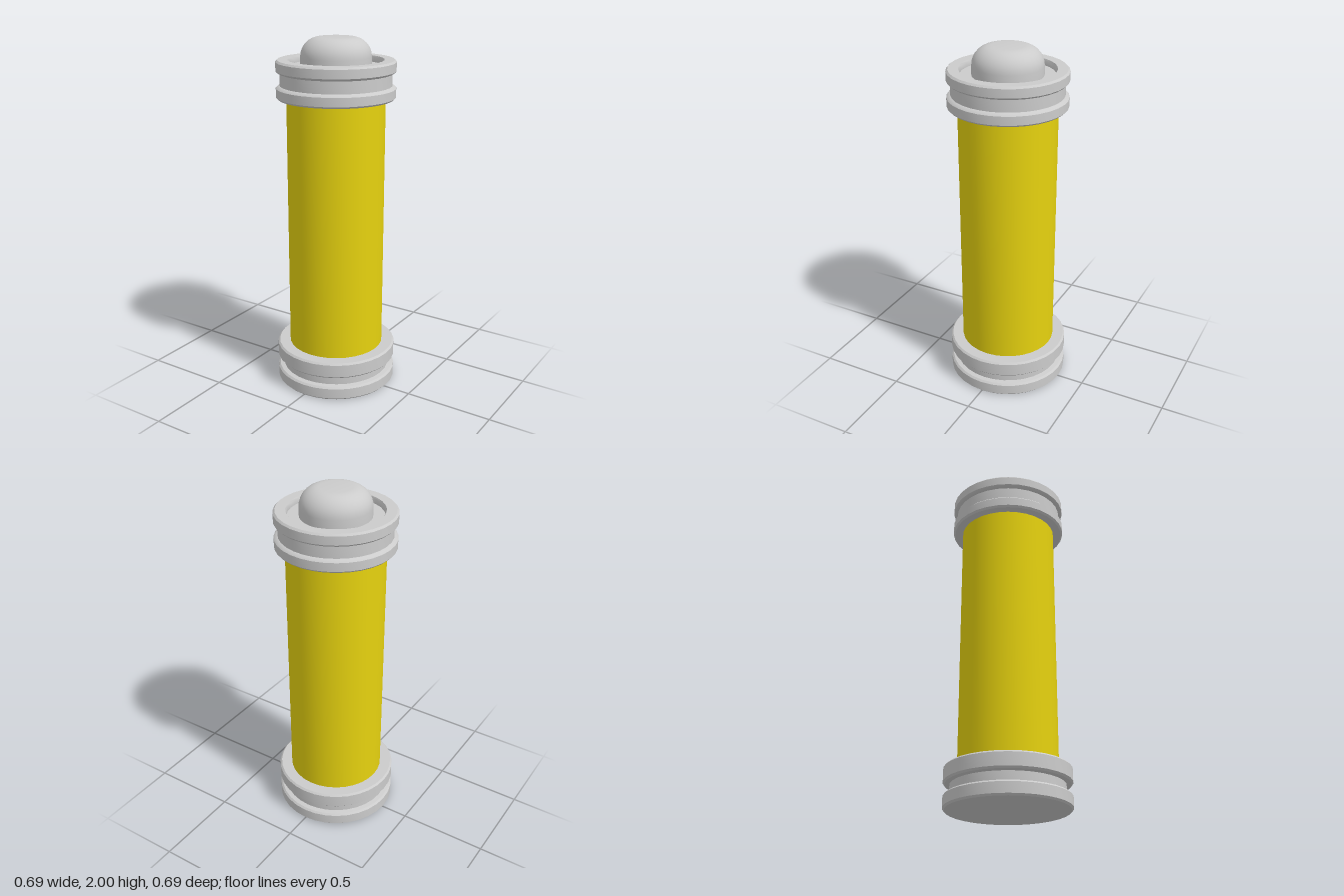
import * as THREE from 'three';
import { toCreasedNormals } from 'three/addons/utils/BufferGeometryUtils.js';

const SIDES = 32;
const BEVEL = 0.01;
const grey = new THREE.MeshStandardMaterial({ color: 0xcccccc });
const yellow = new THREE.MeshStandardMaterial({ color: 0xe6d20f });

// Turn a [radius, height] profile, listed from bottom to top, into a solid
function turned(name, profile, material, crease = 0.6) {
  const points = profile.map(([r, y]) => new THREE.Vector2(r, y));
  const geometry = toCreasedNormals(new THREE.LatheGeometry(points, SIDES), crease);
  const mesh = new THREE.Mesh(geometry, material);
  mesh.name = name;
  return mesh;
}

// Outer side of one ring with small bevels on both edges
function ring(r, y0, y1) {
  return [[r - BEVEL, y0], [r, y0 + BEVEL], [r, y1 - BEVEL], [r - BEVEL, y1]];
}

export function createModel() {
  const model = new THREE.Group();
  model.name = 'cylinderCell';

  // Coloured tube between the two caps
  model.add(turned('body', [[0.272, 0.2], [0.272, 1.7]], yellow));

  // Bottom cap: two rings with a groove between
  model.add(turned('bottomCap', [
    [0, 0],
    ...ring(0.345, 0, 0.078),
    [0.31, 0.082], [0.31, 0.132],
    ...ring(0.345, 0.136, 0.228),
    [0.26, 0.228],
  ], grey));

  // Top cap: two rings, a groove and a shallow recess on top
  model.add(turned('topCap', [
    [0.26, 1.67],
    ...ring(0.328, 1.67, 1.738),
    [0.307, 1.742], [0.307, 1.808],
    ...ring(0.328, 1.812, 1.88),
    [0.262, 1.88], [0.257, 1.872], [0.257, 1.845], [0, 1.845],
  ], grey));

  // Domed button with a rounded shoulder and a flat top
  const dome = [[0.193, 1.835]];
  for (let i = 0; i <= 8; i++) {
    const a = (i / 8) * Math.PI / 2;
    dome.push([0.088 + 0.105 * Math.cos(a), 1.895 + 0.105 * Math.sin(a)]);
  }
  dome.push([0, 2]);
  model.add(turned('topButton', dome, grey));

  return model;
}
